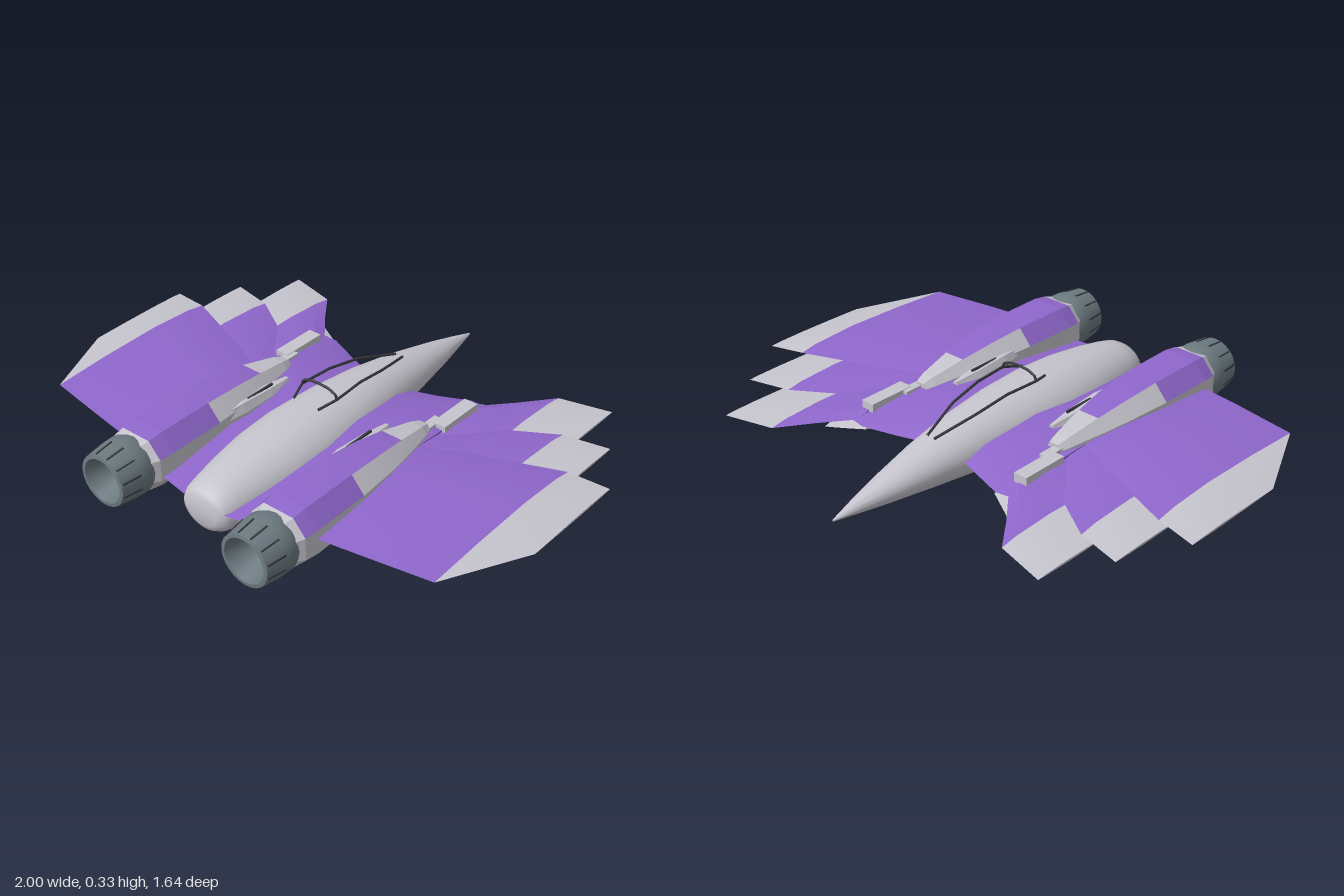
import * as THREE from 'three';
import { toCreasedNormals } from 'three/addons/utils/BufferGeometryUtils.js';

const makeMaterial = (name, color) => {
  const m = new THREE.MeshStandardMaterial({ color });
  m.name = name;
  return m;
};

// Skin a closed body through rings of points; pick(segment, side) gives the material index.
function loft(rings, crease, pick = () => 0) {
  const n = rings[0].length;
  const pos = rings.flat(2);
  const faces = [[], []];
  const P = i => new THREE.Vector3().fromArray(pos, i * 3);
  const add = (m, ...tri) => faces[m].push(tri);
  for (let i = 0; i < rings.length - 1; i++) {
    for (let j = 0; j < n; j++) {
      const a = i * n + j, b = i * n + (j + 1) % n;
      add(pick(i, j), a, b, b + n);
      add(pick(i, j), a, b + n, a + n);
    }
  }
  const last = (rings.length - 1) * n;
  for (let j = 1; j < n - 1; j++) {
    add(pick(0, -1), 0, j + 1, j);
    add(pick(rings.length - 2, -1), last, last + j, last + j + 1);
  }
  // Turn the faces outward whichever way the rings run
  let volume = 0;
  for (const [a, b, c] of faces.flat()) volume += P(a).dot(P(b).cross(P(c)));
  const g = new THREE.BufferGeometry();
  const index = [];
  faces.forEach((list, m) => {
    if (list.length) g.addGroup(index.length, list.length * 3, m);
    list.forEach(([a, b, c]) => index.push(...(volume > 0 ? [a, b, c] : [a, c, b])));
  });
  g.setAttribute('position', new THREE.Float32BufferAttribute(pos, 3));
  g.setIndex(index);
  return toCreasedNormals(g, crease);
}

// Lens-shaped wing section at one span station
function wingRing(s, [x, front, back, y, half]) {
  const t = [0, 0.1, 0.35, 0.7, 1, 0.7, 0.35, 0.1];
  const h = [0, 0.6, 1, 0.65, 0, -0.65, -1, -0.6];
  return t.map((k, i) => [s * x, y + half * h[i], front + (back - front) * k]);
}

// Elliptical fuselage section
function bodyRing([z, half, top, bottom]) {
  return Array.from({ length: 32 }, (_, i) => {
    const a = i / 32 * Math.PI * 2;
    return [half * Math.cos(a), (top + bottom) / 2 + (top - bottom) / 2 * Math.sin(a), z];
  });
}

// Eight-sided engine section, starting with its top facet
function nacelleRing(cx, [z, half, top, bottom]) {
  const u = [-0.55, 0.55, 1, 1, 0.5, -0.5, -1, -1];
  const v = [1, 1, 0.72, 0.3, 0, 0, 0.3, 0.72];
  return u.map((k, i) => [cx + half * k, bottom + (top - bottom) * v[i], z]);
}

export function createModel() {
  const model = new THREE.Group();
  model.name = 'spacecraft';
  const grey = makeMaterial('light grey', 0xc6c4cd);
  const purple = makeMaterial('purple', 0x8f67cc);
  const slate = makeMaterial('nozzle slate', 0x6c7a80);
  const dark = makeMaterial('dark trim', 0x36383d);
  const put = (parent, name, geometry, material) => {
    const mesh = new THREE.Mesh(geometry, material);
    mesh.name = name;
    parent.add(mesh);
    return mesh;
  };

  // Fuselage: z, half width, top, bottom
  put(model, 'fuselage', loft([
    [-0.82, 0.003, 0.114, 0.106], [-0.72, 0.028, 0.142, 0.093], [-0.6, 0.056, 0.172, 0.078],
    [-0.4, 0.094, 0.217, 0.055], [-0.2, 0.124, 0.25, 0.033], [0, 0.15, 0.265, 0.014],
    [0.2, 0.164, 0.267, 0.003], [0.36, 0.156, 0.259, 0.005], [0.5, 0.135, 0.243, 0.013],
    [0.6, 0.115, 0.226, 0.024], [0.645, 0.106, 0.214, 0.034], [0.67, 0.091, 0.199, 0.05],
    [0.68, 0.068, 0.178, 0.07]
  ].map(bodyRing), 0.9), [grey]);

  // Open canopy frame: two rails and an arched hoop
  const canopy = new THREE.Group();
  canopy.name = 'canopyFrame';
  model.add(canopy);
  const rod = (name, points) => {
    const path = new THREE.CurvePath();
    const v = points.map(p => new THREE.Vector3(...p));
    for (let i = 1; i < v.length; i++) path.add(new THREE.LineCurve3(v[i - 1], v[i]));
    put(canopy, name, new THREE.TubeGeometry(path, 32, 0.005, 6), dark);
  };
  for (const s of [1, -1]) {
    rod(s > 0 ? 'leftRail' : 'rightRail', [[s * 0.016, 0.228, -0.37], [s * 0.058, 0.272, -0.2],
      [s * 0.07, 0.295, -0.06], [s * 0.08, 0.296, 0.08], [s * 0.055, 0.28, 0.155]]);
  }
  rod('hoop', [[-0.08, 0.296, 0.08], [-0.072, 0.314, 0.08], [-0.04, 0.326, 0.08], [0, 0.329, 0.08],
    [0.04, 0.326, 0.08], [0.072, 0.314, 0.08], [0.08, 0.296, 0.08]]);

  // Wing stations: x, front z, back z, height, half thickness
  const innerWing = [[0.04, -0.29, 0.675, 0.145, 0.06], [0.2, -0.345, 0.648, 0.147, 0.058],
    [0.32, -0.39, 0.625, 0.155, 0.048], [0.38, -0.385, 0.612, 0.16, 0.035]];
  const fairing = [[0.31, -0.385, 0.25, 0.145, 0.035], [0.38, -0.425, 0.37, 0.14, 0.038],
    [0.44, -0.46, 0.36, 0.138, 0.036], [0.49, -0.34, 0.31, 0.13, 0.028], [0.52, -0.2, 0.22, 0.122, 0.018]];
  const blades = {
    rearBlade: [[0.36, -0.02, 0.615, 0.187, 0.028], [0.6, -0.105, 0.578, 0.191, 0.024],
      [0.85, -0.205, 0.535, 0.192, 0.021], [1, -0.23, 0.21, 0.179, 0.004]],
    middleBlade: [[0.36, -0.12, 0.4, 0.172, 0.026], [0.55, -0.31, 0.33, 0.17, 0.02],
      [0.7, -0.405, 0.25, 0.168, 0.018], [0.87, -0.445, -0.05, 0.164, 0.004]],
    frontBlade: [[0.36, -0.37, 0.15, 0.16, 0.03], [0.46, -0.49, 0.1, 0.156, 0.022],
      [0.55, -0.61, 0.03, 0.152, 0.018], [0.745, -0.66, -0.28, 0.15, 0.004]]
  };
  // Engine stations: z, half width, top, bottom
  const nacelle = [[-0.1, 0.03, 0.215, 0.15], [-0.06, 0.045, 0.228, 0.135], [0.08, 0.078, 0.255, 0.105],
    [0.2, 0.1, 0.272, 0.088], [0.37, 0.117, 0.285, 0.072], [0.6, 0.119, 0.285, 0.065],
    [0.655, 0.113, 0.277, 0.072], [0.69, 0.095, 0.268, 0.082]];
  const scoop = [[-0.01, 0.012, 0.215, 0.17], [0.1, 0.03, 0.225, 0.14], [0.24, 0.032, 0.235, 0.12],
    [0.4, 0.01, 0.225, 0.13]];
  const nozzle = [[0.098, 0.66], [0.11, 0.69], [0.109, 0.73], [0.098, 0.818], [0.084, 0.82], [0.052, 0.72]]
    .map(p => new THREE.Vector2(...p));

  for (const s of [1, -1]) {
    const half = new THREE.Group();
    half.name = s > 0 ? 'leftSide' : 'rightSide';
    model.add(half);
    const wing = st => st.map(p => wingRing(s, p));

    put(half, 'innerWing', loft(wing(innerWing), 0.5), [purple]);
    put(half, 'underFairing', loft(wing(fairing), 0.5), [grey]);
    // Purple blades with grey tips
    for (const [name, st] of Object.entries(blades)) {
      put(half, name, loft(wing(st), 0.35, i => i === st.length - 2 ? 1 : 0), [purple, grey]);
    }
    // Hinge block where the blades meet the inner wing
    const hinge = put(half, 'bladeHinge', new THREE.BoxGeometry(0.055, 0.07, 0.19), grey);
    hinge.position.set(s * 0.365, 0.172, -0.225);
    put(half, 'hingeNeck', new THREE.BoxGeometry(0.035, 0.06, 0.1), grey).position.set(s * 0.335, 0.175, -0.12);

    // Engine body with painted upper facets
    const cx = s * 0.322;
    const paint = (i, j) => (i >= 2 && i <= 5 && j === 0) || (i >= 4 && i <= 5 && (j === 1 || j === 7)) ? 1 : 0;
    put(half, 'engineBody', loft(nacelle.map(p => nacelleRing(cx, p)), 0.1, paint), [grey, purple]);
    put(half, 'sideScoop', loft(scoop.map(p => nacelleRing(s * 0.232, p)), 0.1), [grey]);
    put(half, 'scoopSlot', new THREE.BoxGeometry(0.008, 0.008, 0.13), dark).position.set(s * 0.228, 0.229, 0.14);

    // Nozzle with slits and a pale core
    const exhaust = new THREE.Group();
    exhaust.name = 'exhaust';
    exhaust.position.set(cx, 0.174, 0);
    half.add(exhaust);
    const shell = put(exhaust, 'nozzle', toCreasedNormals(new THREE.LatheGeometry(nozzle, 24), 0.5), slate);
    shell.rotation.x = Math.PI / 2;
    put(exhaust, 'exhaustCore', new THREE.CircleGeometry(0.053, 24), grey).position.z = 0.722;
    for (let k = 0; k < 12; k++) {
      const spoke = new THREE.Group();
      spoke.name = 'nozzleSlit';
      spoke.rotation.z = (k + 0.5) / 12 * Math.PI * 2;
      exhaust.add(spoke);
      const slit = put(spoke, 'slit', new THREE.BoxGeometry(0.006, 0.006, 0.075), dark);
      slit.position.set(0, 0.103, 0.775);
      slit.rotation.x = 0.124;
    }
  }
  return model;
}
